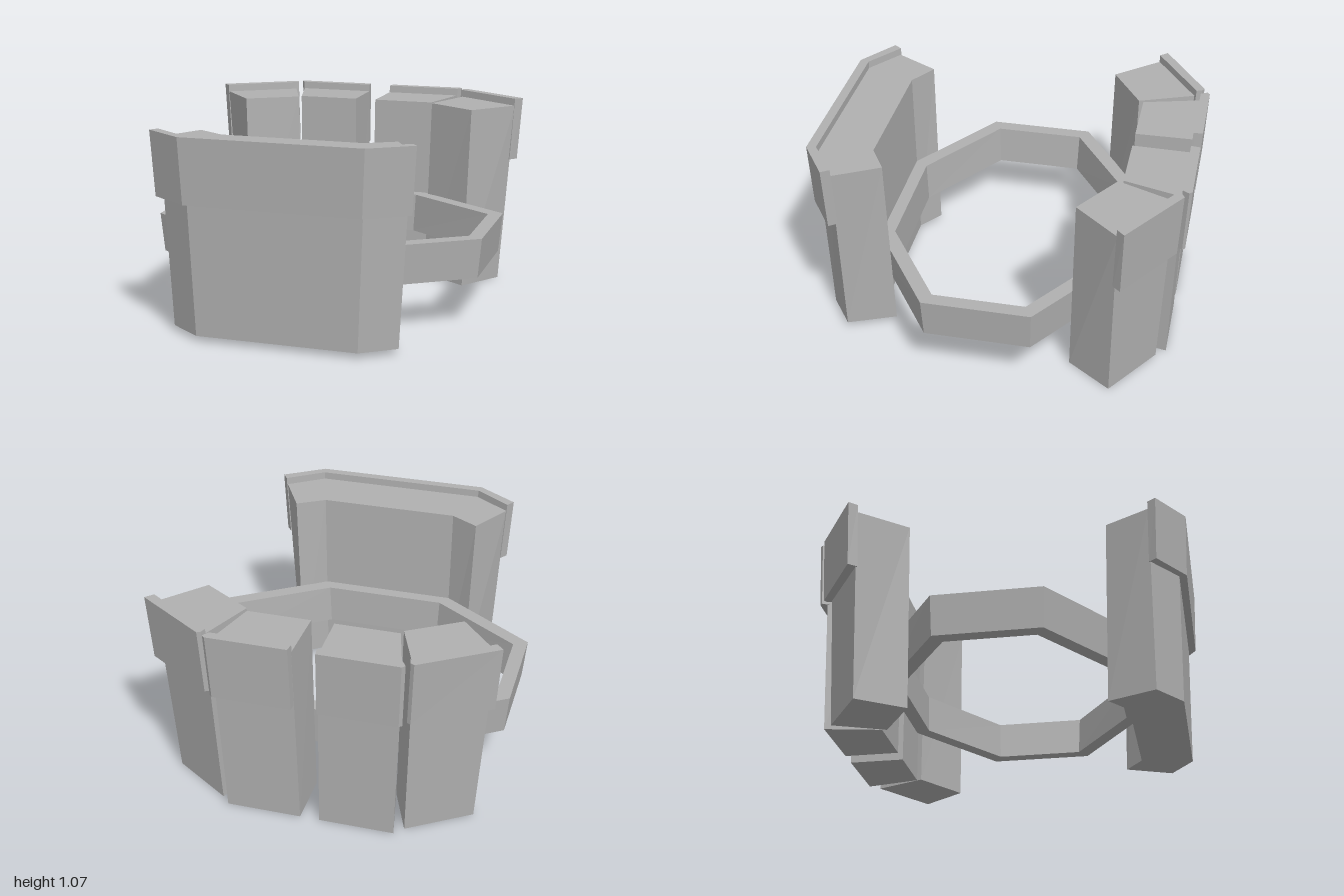
import * as THREE from 'three';

const grey = new THREE.MeshStandardMaterial({ color: 0xb0b0b0 });
grey.name = 'plain grey';

function meshFrom(name, triangles) {
  const geometry = new THREE.BufferGeometry();
  geometry.setAttribute('position', new THREE.Float32BufferAttribute(triangles.flat(), 3));
  geometry.computeVertexNormals();
  const mesh = new THREE.Mesh(geometry, grey);
  mesh.name = name;
  return mesh;
}

const quad = (a, b, c, d) => [a, b, c, a, c, d];
const mirror = (points) => points.map(([x, z]) => [-x, z]);

// Tapered block between a lower and an upper outline of [x, z] points
function block(name, lower, y0, upper, y1) {
  const flat = (points) => points.map(([x, z]) => new THREE.Vector2(x, -z));
  if (THREE.ShapeUtils.area(flat(upper)) < 0) {
    lower = [...lower].reverse();
    upper = [...upper].reverse();
  }
  const low = lower.map(([x, z]) => [x, y0, z]);
  const top = upper.map(([x, z]) => [x, y1, z]);
  const tris = [];
  low.forEach((p, i) => {
    const j = (i + 1) % low.length;
    tris.push(...quad(p, low[j], top[j], top[i]));
  });
  for (const [a, b, c] of THREE.ShapeUtils.triangulateShape(flat(upper), [])) {
    tris.push(top[a], top[b], top[c]);
  }
  for (const [a, b, c] of THREE.ShapeUtils.triangulateShape(flat(lower), [])) {
    tris.push(low[c], low[b], low[a]);
  }
  return meshFrom(name, tris);
}

// Octagonal loop, counter-clockwise seen from above
function octagon(x, sideZ, endX, z, y) {
  const c = 0.013;
  return [
    [x, y, c + sideZ], [x, y, c - sideZ], [endX, y, c - z], [-endX, y, c - z],
    [-x, y, c - sideZ], [-x, y, c + sideZ], [-endX, y, c + z], [endX, y, c + z],
  ];
}

function belt() {
  const loops = [
    octagon(0.888, 0.28, 0.35, 0.645, 0.275), // outer bottom
    octagon(0.908, 0.287, 0.36, 0.658, 0.49), // outer top
    octagon(0.832, 0.245, 0.335, 0.58, 0.49), // inner top
    octagon(0.812, 0.238, 0.325, 0.57, 0.275), // inner bottom
  ];
  const tris = [];
  loops.forEach((a, k) => {
    const b = loops[(k + 1) % 4];
    a.forEach((p, i) => {
      const j = (i + 1) % 8;
      tris.push(...quad(p, a[j], b[j], b[i]));
    });
  });
  return meshFrom('belt', tris);
}

export function createModel() {
  const model = new THREE.Group();
  model.name = 'beltWithPouches';
  model.add(belt());

  // Wide front pouch, given as right halves and mirrored
  const both = (half) => [...half, ...mirror(half).reverse()];
  const front = new THREE.Group();
  front.name = 'frontPouch';
  front.add(
    block('frontPouchBody',
      both([[0.37, 0.655], [0.5, 0.56], [0.605, 0.81], [0.43, 0.935]]), 0.03,
      both([[0.38, 0.67], [0.53, 0.58], [0.66, 0.815], [0.47, 0.955]]), 1.03),
    block('frontPouchFlap',
      both([[0.455, 0.94], [0.645, 0.805], [0.675, 0.845], [0.465, 0.988]]), 0.725,
      both([[0.47, 0.95], [0.665, 0.812], [0.695, 0.855], [0.48, 1.0]]), 1.07),
  );
  model.add(front);

  // Back pouches: an inner and an angled outer one on each side
  const pouches = [
    {
      name: 'backInnerPouch',
      bodyLow: [[0.052, -0.635], [0.39, -0.635], [0.45, -0.93], [0.052, -0.93]],
      bodyTop: [[0.06, -0.645], [0.4, -0.645], [0.485, -0.955], [0.065, -0.955]],
      flapLow: [[0.062, -0.935], [0.475, -0.935], [0.495, -0.972], [0.48, -0.986], [0.066, -0.986]],
      flapTop: [[0.065, -0.95], [0.487, -0.95], [0.508, -0.985], [0.492, -1.0], [0.07, -1.0]],
    },
    {
      name: 'backOuterPouch',
      bodyLow: [[0.385, -0.61], [0.65, -0.435], [0.815, -0.67], [0.495, -0.88]],
      bodyTop: [[0.41, -0.62], [0.68, -0.45], [0.885, -0.685], [0.53, -0.92]],
      flapLow: [[0.5, -0.905], [0.865, -0.67], [0.9, -0.712], [0.53, -0.95], [0.51, -0.94]],
      flapTop: [[0.515, -0.925], [0.885, -0.68], [0.923, -0.72], [0.545, -0.966], [0.525, -0.955]],
    },
  ];
  for (const p of pouches) {
    for (const [side, place] of [['Left', (pts) => pts], ['Right', mirror]]) {
      const pouch = new THREE.Group();
      pouch.name = p.name + side;
      pouch.add(
        block('pouchBody', place(p.bodyLow), 0, place(p.bodyTop), 1.03),
        block('pouchFlap', place(p.flapLow), 0.715, place(p.flapTop), 1.07),
      );
      model.add(pouch);
    }
  }
  return model;
}
